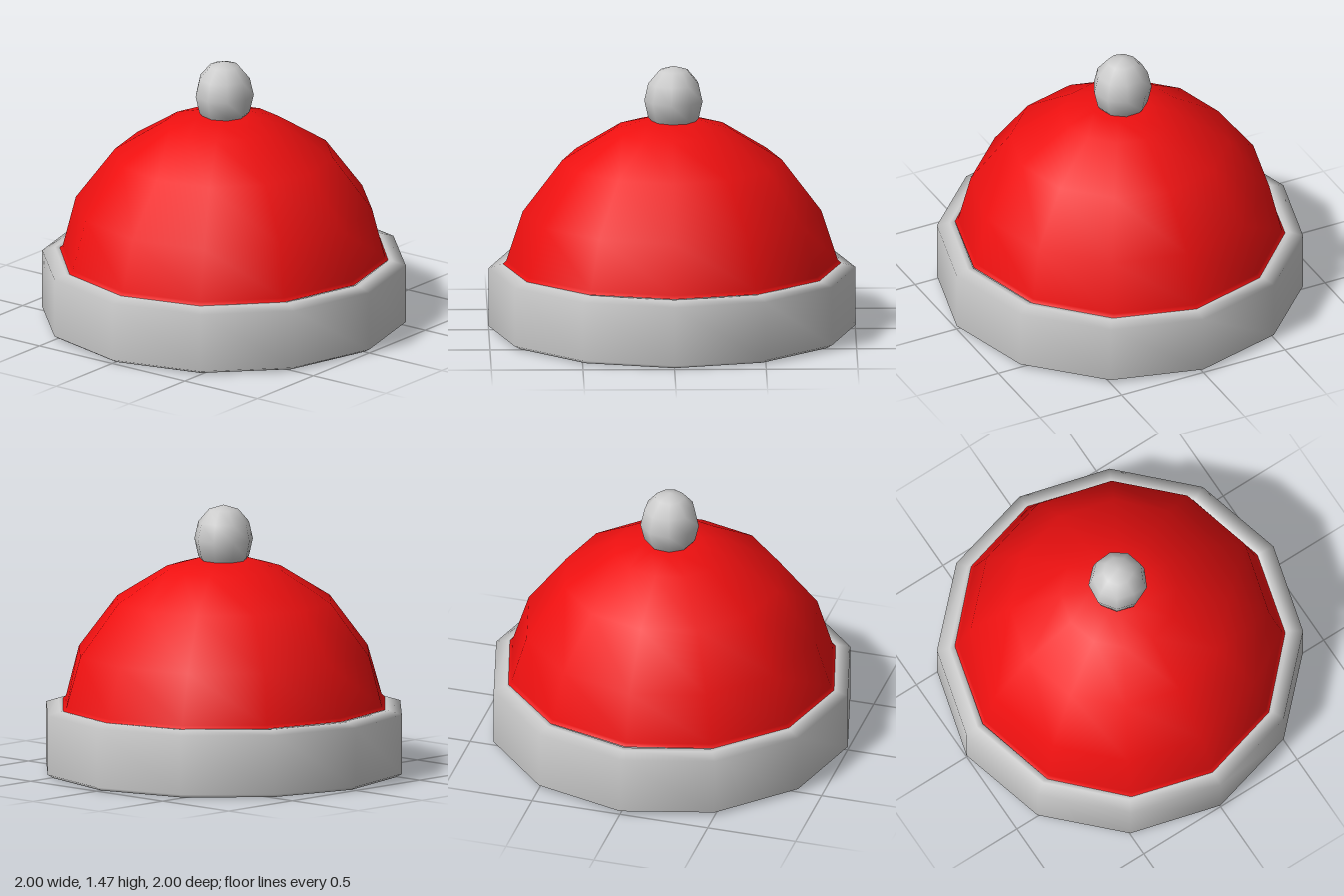
import * as THREE from 'three';

const SIDES = 12;
const grey = new THREE.MeshStandardMaterial({ color: 0xcccccc });
const red = new THREE.MeshStandardMaterial({ color: 0xee1010, side: THREE.DoubleSide });

// Twelve-sided turned shape with smooth normals
function turned(points) {
  return new THREE.LatheGeometry(points.map(([r, y]) => new THREE.Vector2(r, y)), SIDES);
}

function part(name, geometry, material) {
  const mesh = new THREE.Mesh(geometry, material);
  mesh.name = name;
  return mesh;
}

export function createModel() {
  const hat = new THREE.Group();
  hat.name = 'bobbleHat';

  // Fur band: hollow ring with bevelled rims, outline starts and ends on the inner wall
  hat.add(part('band', turned([
    [0.9, 0.18], [0.9, 0.025], [0.92, 0], [0.965, 0], [1, 0.02],
    [1, 0.345], [0.93, 0.367], [0.9, 0.367], [0.885, 0.34], [0.9, 0.18],
  ]), grey));

  // Open-bottomed crown with a small turned-out hem, slightly longer front to back
  const crown = turned([
    [0.895, 0.368], [0.878, 0.385], [0.815, 0.66], [0.6, 0.945],
    [0.32, 1.12], [0.16, 1.165], [0, 1.172],
  ]);
  const pos = crown.attributes.position;
  for (let i = 0; i < pos.count; i++) {
    if (pos.getY(i) < 0.4) pos.setZ(i, pos.getZ(i) * 1.03);
  }
  hat.add(part('crown', crown, red));

  // Pompom, a little taller than wide
  const pompom = part('pompom', new THREE.SphereGeometry(1, 9, 6), grey);
  pompom.scale.set(0.162, 0.19, 0.162);
  pompom.position.set(-0.007, 1.28, -0.01);
  pompom.rotation.y = 0.25;
  hat.add(pompom);

  return hat;
}
